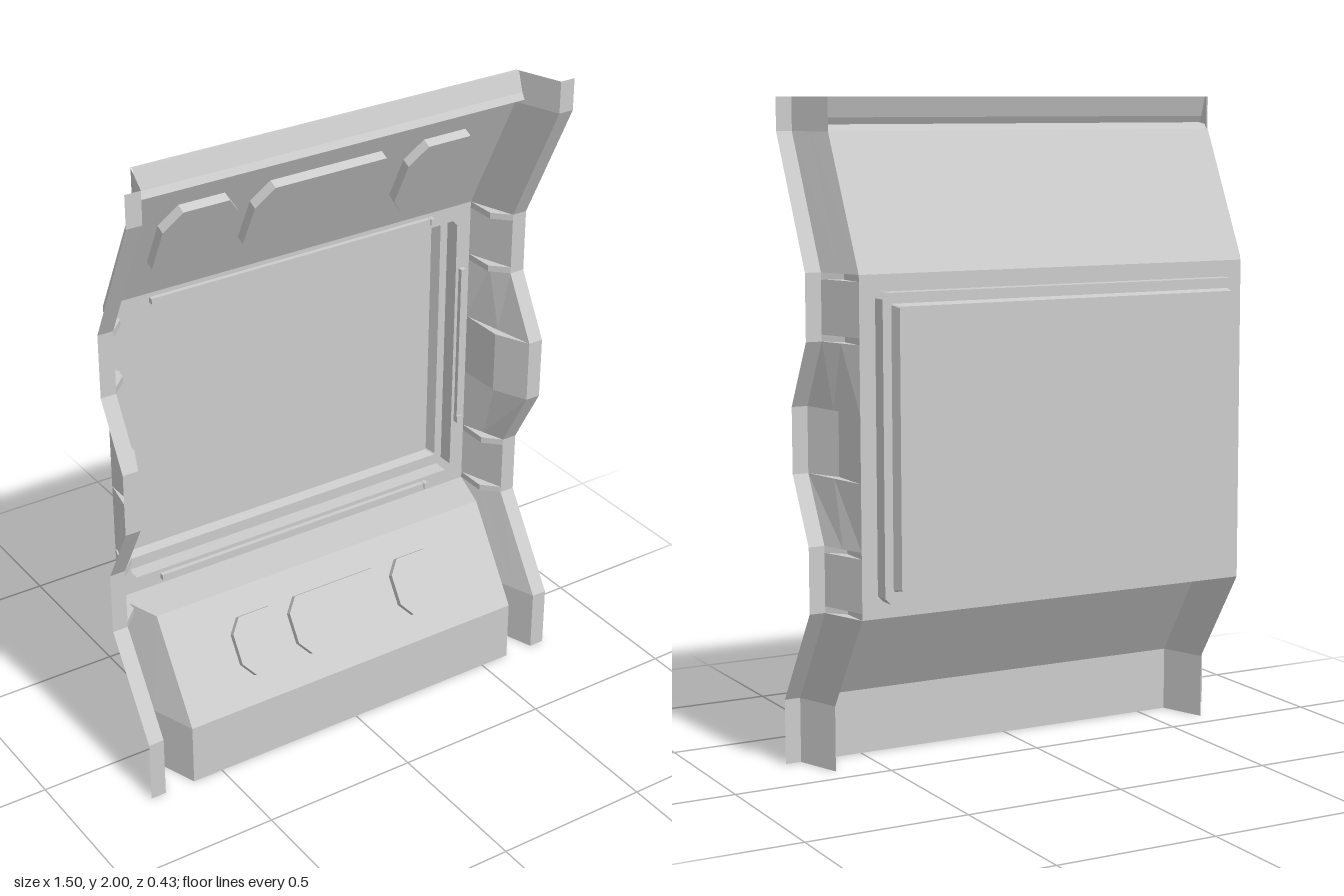
import * as THREE from 'three';

const mat = new THREE.MeshStandardMaterial({ color: 0xcccccc, flatShading: true, side: THREE.DoubleSide });

function add(group, name, geometry) {
  const mesh = new THREE.Mesh(geometry, mat);
  mesh.name = name;
  group.add(mesh);
  return mesh;
}

// Sheet stretched over successive cross-sections of [x, y, z] points
function loft(sections, closed = false) {
  const pos = [];
  const n = sections[0].length;
  for (let i = 0; i < sections.length - 1; i++) {
    for (let j = 0; j < (closed ? n : n - 1); j++) {
      const k = (j + 1) % n;
      const a = sections[i][j], b = sections[i][k];
      const c = sections[i + 1][k], d = sections[i + 1][j];
      pos.push(...a, ...b, ...c, ...a, ...c, ...d);
    }
  }
  const g = new THREE.BufferGeometry();
  g.setAttribute('position', new THREE.Float32BufferAttribute(pos, 3));
  g.computeVertexNormals();
  return g;
}

// Rectangle with cut corners, as half sizes and corner cuts
const octagon = (w, h, cx, cy = cx) => [
  [w, h - cy], [w - cx, h], [cx - w, h], [-w, h - cy],
  [-w, cy - h], [cx - w, -h], [w - cx, -h], [w, cy - h],
];
const toShape = (pts) => new THREE.Shape(pts.map(([x, y]) => new THREE.Vector2(x, y)));

// Raised eight-sided plates lying on a slope from (y0, z0) up to (y1, z1)
function plates(group, name, specs, [y0, z0], [y1, z1], yMid, height, half, cx, cy, depth) {
  const slope = Math.atan2(z1 - z0, y1 - y0);
  const t = (yMid - y0) / (y1 - y0);
  for (const [x, w] of specs) {
    const shape = toShape(octagon(w, half / Math.cos(slope), cx, cy));
    const mesh = add(group, name, new THREE.ExtrudeGeometry(shape, { depth, bevelEnabled: false }));
    mesh.rotation.x = slope;
    mesh.position.set(x, yMid, z0 + t * (z1 - z0));
  }
}

// Side wing: stations [y, back z, front z, bend z]; a bend makes a stepped rib
function wing(side) {
  const stations = [
    [0, 0.07, 0.215], [0.2, 0.07, 0.215], [0.5, -0.13, 0.02],
    [0.5, -0.13, 0.02, -0.03], [0.52, -0.13, 0.02, -0.03], [0.52, -0.13, 0.02],
    [0.68, -0.13, 0.02], [0.68, -0.13, 0.02, -0.03], [0.7, -0.13, 0.02, -0.03],
    [0.7, -0.13, 0.02], [0.9, -0.13, 0.13], [0.9, -0.13, 0.13, 0.02],
  ];
  // the upper half mirrors the lower, apart from its end heights
  const upper = stations.slice().reverse().map(([y, ...z]) => [y === 0.2 ? 1.9 : 2 - y, ...z]);
  return loft([...stations, ...upper].map(([y, zb, zf, bend]) => [
    [side * 0.65, y, zb],
    bend === undefined ? [side * 0.675, y, (zb + zf) / 2] : [side * 0.65, y, bend],
    [side * 0.7, y, zf],
    [side * 0.75, y, zf],
  ]));
}

export function createModel() {
  const model = new THREE.Group();
  model.name = 'wallPanel';

  add(model, 'rightWing', wing(-1));
  add(model, 'leftWing', wing(1));

  // Leaning upper panel with a folded lip along its top
  const upperProfile = [
    [1.5, -0.13], [1.9, 0.07], [1.915, 0.08], [1.92, 0.112], [1.94, 0.1], [2, 0.08], [2, 0.067],
  ];
  add(model, 'upperPanel', loft(upperProfile.map(([y, z]) => [[-0.65, y, z], [0.65, y, z]])));
  plates(model, 'upperPlate', [[-0.415, 0.125], [0, 0.24], [0.415, 0.125]],
    [1.5, -0.13], [1.9, 0.07], 1.708, 0, 0.132, 0.05, 0.07, 0.03);

  // Lower console: front, angled ends and ledge, open at the back
  const lowerProfile = [[0, 0.07, 0.215], [0.2, 0.07, 0.215], [0.5, -0.13, 0.02], [0.5, -0.13, -0.13]];
  add(model, 'lowerConsole', loft(lowerProfile.map(([y, zb, zf]) => {
    const x = zf === zb ? 0.65 : 0.6;
    return [[-0.65, y, zb], [-x, y, zf], [x, y, zf], [0.65, y, zb]];
  })));
  plates(model, 'lowerPlate', [[-0.295, 0.09], [0, 0.18], [0.295, 0.09]],
    [0.2, 0.215], [0.5, 0.02], 0.35, 0, 0.078, 0.035, 0.045, 0.02);

  // Frame around the screen opening
  const frame = toShape([[-0.65, -0.5], [0.65, -0.5], [0.65, 0.5], [-0.65, 0.5]]);
  frame.holes.push(toShape(octagon(0.6, 0.45, 0.018)));
  add(model, 'screenFrame', new THREE.ShapeGeometry(frame)).position.set(0, 1, -0.13);

  // Stepped recess and the screen at its bottom
  const ring = (w, h, c, y, z) => octagon(w, h, c).map(([px, py]) => [px, py + y, z]);
  add(model, 'screenRecess', loft([
    ring(0.6, 0.45, 0.018, 1, -0.13),
    ring(0.6, 0.45, 0.018, 1, -0.18),
    ring(0.573, 0.416, 0.004, 1.003, -0.18),
    ring(0.563, 0.41, 0.004, 1.003, -0.215),
  ], true));
  add(model, 'screen', new THREE.ShapeGeometry(toShape(octagon(0.563, 0.41, 0.004))))
    .position.set(0, 1.003, -0.215);

  // Slim trim bars, each with a small end block
  for (const s of [-1, 1]) {
    add(model, 'crossBar', new THREE.BoxGeometry(1, 0.018, 0.015)).position.set(0, 1.003 + s * 0.475, -0.1225);
    add(model, 'sideBar', new THREE.BoxGeometry(0.018, 0.55, 0.015)).position.set(s * 0.62, 1.005, -0.1225);
    add(model, 'crossBarEnd', new THREE.BoxGeometry(0.014, 0.02, 0.02)).position.set(0.492, 1.003 + s * 0.475, -0.12);
    add(model, 'sideBarEnd', new THREE.BoxGeometry(0.02, 0.024, 0.02)).position.set(s * 0.62, 0.74, -0.12);
  }
  return model;
}
